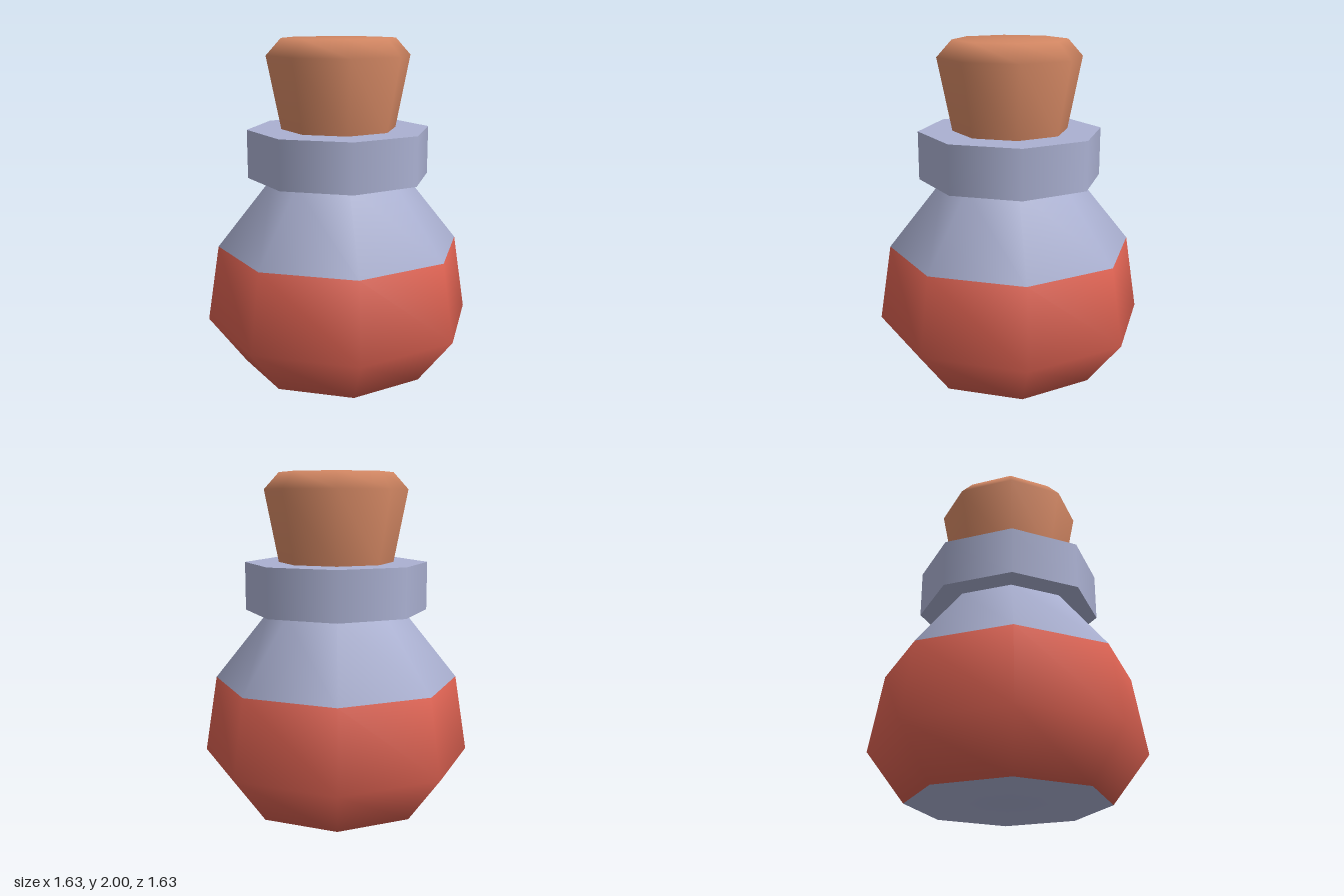
import * as THREE from 'three';

const SIDES = 8;

// Eight-sided turned shape; the profile runs from bottom to top as [radius, y].
function turned(profile) {
  return new THREE.LatheGeometry(profile.map(([r, y]) => new THREE.Vector2(r, y)), SIDES);
}

// Keeps only chosen profile bands, so neighbouring colours share smooth normals.
function bands(profile, keep) {
  const geometry = turned(profile);
  const source = geometry.getIndex().array;
  const count = profile.length - 1;
  const index = [];
  for (let i = 0; i < SIDES; i++) {
    for (const j of keep) {
      const start = (i * count + j) * 6;
      index.push(...source.slice(start, start + 6));
    }
  }
  geometry.setIndex(index);
  return geometry;
}

export function createModel() {
  const glass = new THREE.MeshStandardMaterial({ color: 0xaab0d1 });
  const red = new THREE.MeshStandardMaterial({ color: 0xda6050 });
  const corkBrown = new THREE.MeshStandardMaterial({ color: 0xd38763 });
  glass.name = 'glass';
  red.name = 'redLiquid';
  corkBrown.name = 'cork';

  const model = new THREE.Group();
  model.name = 'potionBottle';
  const add = (name, geometry, material) => {
    const mesh = new THREE.Mesh(geometry, material);
    mesh.name = name;
    model.add(mesh);
  };

  // Bottle body: base, liquid-filled belly and clear shoulder
  const body = [[0, 0], [0.59, 0], [0.815, 0.295], [0.74, 0.76], [0.405, 1.18]];
  add('base', bands(body, [0]), glass);
  add('liquid', bands(body, [1, 2]), red);
  add('shoulder', bands(body, [3]), glass);

  // Collar with crisp rims
  add('collarUnderside', turned([[0.36, 1.18], [0.55, 1.18]]), glass);
  add('collarSide', turned([[0.55, 1.18], [0.55, 1.47]]), glass);
  add('collarTop', turned([[0.55, 1.47], [0.3, 1.47]]), glass);

  // Flared stopper with a softened top edge
  add('stopper', turned([[0.345, 1.465], [0.43, 1.9], [0.34, 2], [0, 2]]), corkBrown);

  return model;
}
